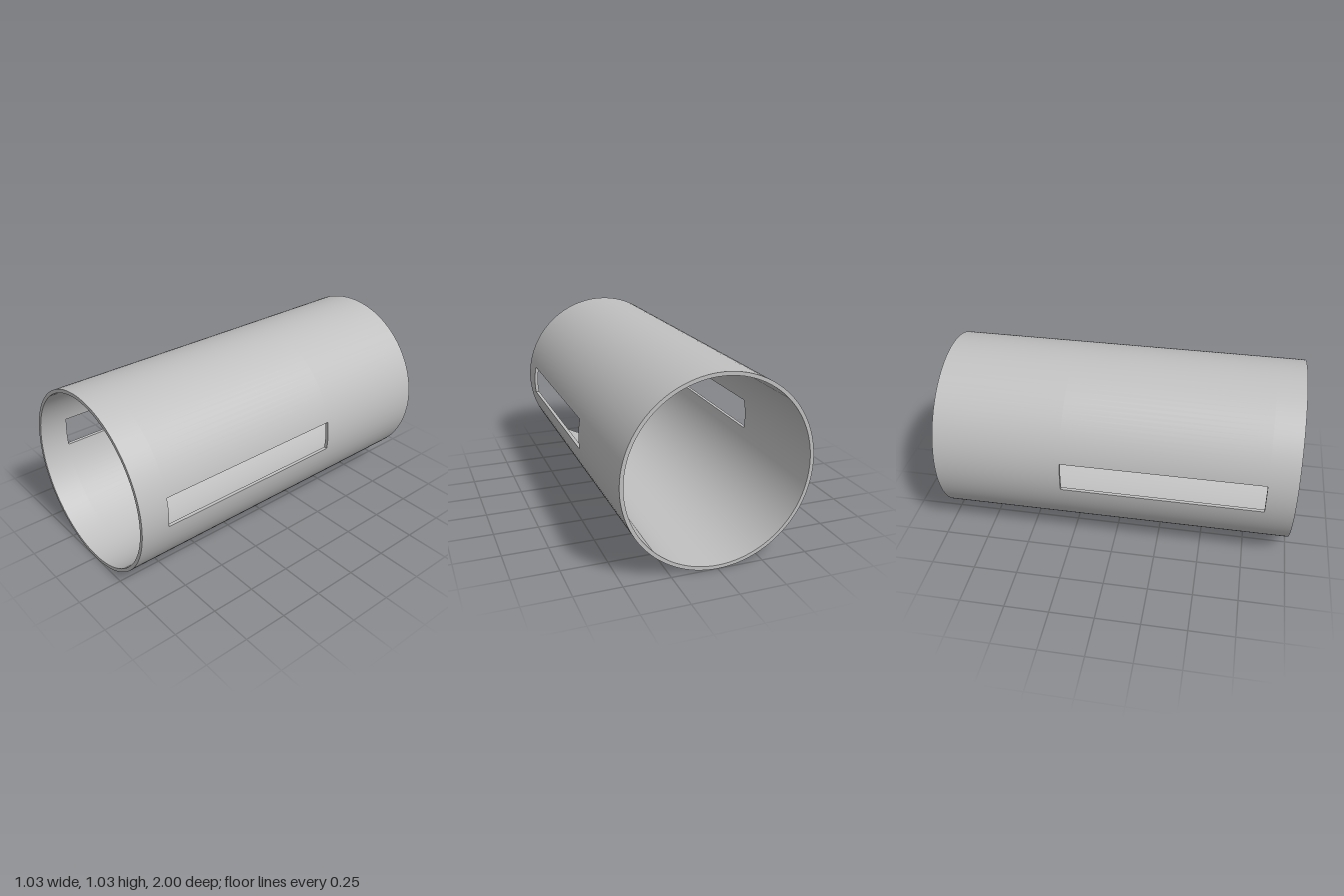
import * as THREE from 'three';

const OUTER = 0.513, INNER = 0.493, CENTER_Y = 0.513;
const SLOT_LOW = 0.446 - CENTER_Y, SLOT_HIGH = 0.618 - CENTER_Y;
const Z = [-1, -0.28, 0.84, 1]; // back end, slot back, slot front, front end
const SLOT_STEPS = 8, ARC_STEPS = 48;

// Angles round the tube, with the slot edges level at both radii
function ringAngles(r) {
  const lo = Math.asin(SLOT_LOW / r), hi = Math.asin(SLOT_HIGH / r);
  const stops = [lo, hi, Math.PI - hi, Math.PI - lo, 2 * Math.PI + lo];
  const angles = [];
  for (let s = 0; s < 4; s++) {
    const n = s % 2 ? ARC_STEPS : SLOT_STEPS;
    for (let i = 0; i < n; i++) angles.push(stops[s] + (stops[s + 1] - stops[s]) * i / n);
  }
  angles.push(stops[4]);
  return angles;
}

// Collects quads as triangles; smooth shells get radial normals, the rest are flat
function quadBuilder() {
  const pos = [], nor = [];
  return {
    add(corners, radial = 0) {
      const [a, b, , d] = corners;
      const flat = b.clone().sub(a).cross(d.clone().sub(a)).normalize();
      for (const k of [0, 1, 2, 0, 2, 3]) {
        const p = corners[k];
        const n = radial ? new THREE.Vector3(p.x, p.y, 0).normalize().multiplyScalar(radial) : flat;
        pos.push(p.x, p.y, p.z);
        nor.push(n.x, n.y, n.z);
      }
    },
    build() {
      const g = new THREE.BufferGeometry();
      g.setAttribute('position', new THREE.Float32BufferAttribute(pos, 3));
      g.setAttribute('normal', new THREE.Float32BufferAttribute(nor, 3));
      return g;
    },
  };
}

function slottedTube() {
  const quads = quadBuilder();
  const outerAngles = ringAngles(OUTER), innerAngles = ringAngles(INNER);
  const point = (r, a, z) => new THREE.Vector3(r * Math.cos(a), r * Math.sin(a), z);
  const out = (i, z) => point(OUTER, outerAngles[i], z);
  const inn = (i, z) => point(INNER, innerAngles[i], z);
  const half = SLOT_STEPS + ARC_STEPS;

  for (let i = 0; i < 2 * half; i++) {
    const inSlot = i % half < SLOT_STEPS;
    const j = i + 1;

    // Outer and inner walls, left open at the slots
    for (let k = 0; k < 3; k++) {
      if (inSlot && k === 1) continue;
      const z0 = Z[k], z1 = Z[k + 1];
      quads.add([out(i, z0), out(j, z0), out(j, z1), out(i, z1)], 1);
      quads.add([inn(i, z0), inn(i, z1), inn(j, z1), inn(j, z0)], -1);
    }

    // Rims at the tube ends, and the end walls of the slots
    const front = z => quads.add([inn(i, z), out(i, z), out(j, z), inn(j, z)]);
    const back = z => quads.add([inn(i, z), inn(j, z), out(j, z), out(i, z)]);
    front(Z[3]);
    back(Z[0]);
    if (inSlot) {
      front(Z[1]);
      back(Z[2]);
    }
  }

  // Long walls of the slots
  for (const start of [0, half]) {
    const end = start + SLOT_STEPS;
    quads.add([inn(start, Z[1]), inn(start, Z[2]), out(start, Z[2]), out(start, Z[1])]);
    quads.add([inn(end, Z[1]), out(end, Z[1]), out(end, Z[2]), inn(end, Z[2])]);
  }
  return quads.build();
}

export function createModel() {
  const grey = new THREE.MeshStandardMaterial({ color: 0xc0c0c0 });
  grey.name = 'grey';

  const tube = new THREE.Mesh(slottedTube(), grey);
  tube.name = 'slottedTube';
  tube.position.y = CENTER_Y;

  const model = new THREE.Group();
  model.name = 'sleeve';
  model.add(tube);
  return model;
}
